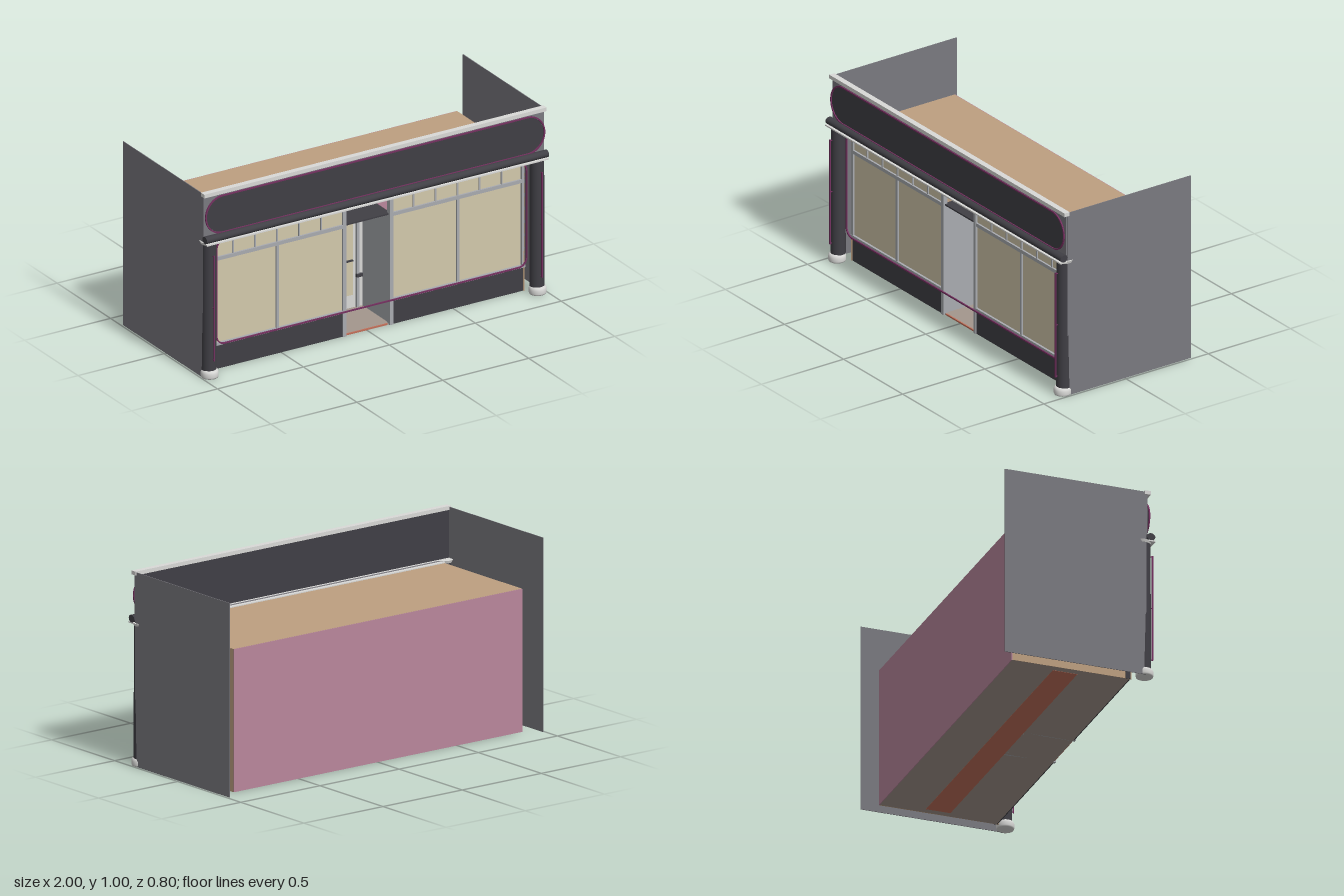
import * as THREE from 'three';

const mat = (name, color) => {
  const m = new THREE.MeshStandardMaterial({ color });
  m.name = name;
  return m;
};

export function createModel() {
  const M = {
    dark: mat('charcoal paint', 0x403f45),
    grey: mat('wall grey', 0x7a797f),
    tan: mat('tan plaster', 0xbd9f80),
    pink: mat('pink plaster', 0xb9879c),
    glass: mat('cream window', 0xd2c8ab),
    trim: mat('frame grey', 0xa9abb0),
    white: mat('pale stone', 0xd9d9d7),
    line: mat('plum tube', 0x74305f),
    red: mat('terracotta', 0xc2705a),
    floor: mat('floor', 0xa3968d),
  };
  const root = new THREE.Group();
  const add = (name, geo, material, x = 0, y = 0, z = 0, parent = root) => {
    const m = new THREE.Mesh(geo, material);
    m.name = name;
    m.position.set(x, y, z);
    parent.add(m);
    return m;
  };
  // box given by its limits on each axis
  const box = (name, material, x0, x1, y0, y1, z0, z1, parent = root) =>
    add(name, new THREE.BoxGeometry(x1 - x0, y1 - y0, z1 - z0), material,
      (x0 + x1) / 2, (y0 + y1) / 2, (z0 + z1) / 2, parent);
  // rounded rectangle outline centred on cy
  const roundRect = (w, h, r, cy) => {
    const s = new THREE.Shape();
    const x = w / 2, y0 = cy - h / 2, y1 = cy + h / 2;
    s.moveTo(-x + r, y0);
    s.lineTo(x - r, y0);
    s.absarc(x - r, y0 + r, r, -Math.PI / 2, 0);
    s.lineTo(x, y1 - r);
    s.absarc(x - r, y1 - r, r, 0, Math.PI / 2);
    s.lineTo(-x + r, y1);
    s.absarc(-x + r, y1 - r, r, Math.PI / 2, Math.PI);
    s.lineTo(-x, y0 + r);
    s.absarc(-x + r, y0 + r, r, Math.PI, Math.PI * 1.5);
    return s;
  };
  // flat ring between two rounded rectangles
  const ring = (name, w, h, r, cy, t, z, depth) => {
    const s = roundRect(w, h, r, cy);
    s.holes.push(roundRect(w - 2 * t, h - 2 * t, r - t, cy));
    add(name, new THREE.ExtrudeGeometry(s, { depth, bevelEnabled: false, curveSegments: 16 }), M.line, 0, 0, z);
  };

  // room shell
  box('floor', M.floor, -0.91, 0.91, 0, 0.006, -0.33, 0.29);
  box('floorStrip', M.red, -0.87, 0.87, -0.001, 0.004, -0.1, 0.03);
  box('roof', M.tan, -0.91, 0.91, 0.725, 0.733, -0.33, 0.28);
  box('backWall', M.pink, -0.91, 0.91, 0, 0.732, -0.334, -0.326);
  for (const s of [-1, 1]) {
    box('roomSideWall', M.tan, s * 0.909 - 0.003, s * 0.909 + 0.003, 0, 0.732, -0.33, 0.3);
    box('outerWall', M.grey, s * 0.989 - 0.002, s * 0.989 + 0.002, 0, 0.995, -0.4, 0.35);
  }

  // shop window bays
  for (const s of [-1, 1]) {
    const bay = new THREE.Group();
    bay.name = s > 0 ? 'leftWindowBay' : 'rightWindowBay';
    root.add(bay);
    const span = (name, m, a, b, y0, y1, z0, z1) =>
      box(name, m, Math.min(s * a, s * b), Math.max(s * a, s * b), y0, y1, z0, z1, bay);
    span('stallRiser', M.dark, 0.14, 0.915, 0, 0.13, 0.27, 0.295);
    span('windowPane', M.glass, 0.14, 0.91, 0.13, 0.725, 0.284, 0.29);
    span('sill', M.trim, 0.135, 0.915, 0.128, 0.142, 0.278, 0.302);
    span('transomBar', M.trim, 0.14, 0.91, 0.587, 0.606, 0.278, 0.3);
    span('headRail', M.trim, 0.14, 0.91, 0.712, 0.73, 0.278, 0.3);
    span('endPost', M.trim, 0.895, 0.912, 0.13, 0.725, 0.278, 0.3);
    span('entrancePost', M.trim, 0.127, 0.146, 0, 0.725, 0.276, 0.302);
    span('centreMullion', M.trim, 0.518, 0.533, 0.14, 0.59, 0.278, 0.3);
    for (let i = 1; i < 6; i++) {
      const x = 0.14 + i * 0.1283;
      span('transomMullion', M.trim, x - 0.004, x + 0.004, 0.6, 0.715, 0.28, 0.297);
    }
    // recessed entrance sides and door jambs
    span('entranceSide', M.trim, 0.132, 0.14, 0, 0.6, 0.02, 0.28);
    span('doorJamb', M.white, 0.114, 0.134, 0, 0.6, 0.015, 0.035);
    span('doorJambInner', M.trim, 0.095, 0.11, 0, 0.6, 0.015, 0.045);
    span('sidePane', M.glass, 0.108, 0.116, 0.14, 0.59, 0.02, 0.028);
  }

  // entrance
  box('entranceSoffit', M.dark, -0.14, 0.14, 0.594, 0.602, 0.02, 0.29);
  box('doorHead', M.trim, -0.12, 0.12, 0.575, 0.6, 0.012, 0.04);
  box('doorLeaf', M.white, -0.097, 0.097, 0.006, 0.58, 0.015, 0.032);
  box('doorGlass', M.glass, -0.082, 0.078, 0.075, 0.57, 0.03, 0.035);
  box('letterPlate', M.dark, -0.068, 0.028, 0.17, 0.188, 0.033, 0.043);
  box('pushBar', M.dark, -0.08, 0.075, 0.26, 0.268, 0.034, 0.043);
  box('doorHandle', M.dark, 0.09, 0.125, 0.172, 0.188, 0.04, 0.055);
  box('threshold', M.red, -0.12, 0.12, 0, 0.008, 0.285, 0.292);

  // hanging lamps seen over the door
  for (const x of [-0.132, 0.09]) {
    const shade = add('lampShade', new THREE.SphereGeometry(0.034, 20, 14), M.red, x, 0.636, -0.05);
    shade.scale.set(1, 1.1, 1);
    add('lampCord', new THREE.CylinderGeometry(0.002, 0.002, 0.07, 6), M.dark, x, 0.69, -0.05);
  }

  // columns with moulded bases
  const baseProfile = [[0, 0], [0.042, 0], [0.045, 0.008], [0.045, 0.026], [0.041, 0.037], [0.034, 0.042], [0, 0.042]]
    .map(p => new THREE.Vector2(p[0], p[1]));
  for (const s of [-1, 1]) {
    const x = s * 0.954;
    add('column', new THREE.CylinderGeometry(0.036, 0.038, 0.69, 28), M.dark, x, 0.385, 0.347);
    add('columnBase', new THREE.LatheGeometry(baseProfile, 28), M.white, x, 0, 0.353);
    add('columnCapital', new THREE.CylinderGeometry(0.045, 0.04, 0.014, 28), M.white, x, 0.727, 0.342);
    box('columnTube', M.line, x - 0.003, x + 0.003, 0.098, 0.668, 0.392, 0.399);
    for (const y of [0.1, 0.38, 0.66])
      box('tubePeg', M.line, x - 0.002, x + 0.002, y, y + 0.004, 0.38, 0.393);
  }

  // cornice above the windows
  box('facadeHead', M.white, -0.91, 0.91, 0.728, 0.738, 0.28, 0.302);
  box('soffit', M.grey, -0.91, 0.91, 0.728, 0.734, 0.302, 0.345);
  box('corniceLedge', M.white, -0.995, 0.995, 0.728, 0.735, 0.33, 0.396);
  const roll = add('corniceRoll', new THREE.CylinderGeometry(0.019, 0.019, 1.99, 20), M.dark, 0, 0.753, 0.373);
  roll.rotation.z = Math.PI / 2;
  roll.scale.z = 1.15;

  // fascia sign
  box('fasciaBack', M.dark, -0.988, 0.988, 0.732, 0.985, 0.342, 0.35);
  box('fasciaFace', M.grey, -0.988, 0.988, 0.765, 0.982, 0.35, 0.356);
  add('signPanel', new THREE.ExtrudeGeometry(roundRect(1.96, 0.19, 0.094, 0.87),
    { depth: 0.01, bevelEnabled: false, curveSegments: 16 }), M.dark, 0, 0, 0.356);
  ring('signTube', 1.976, 0.206, 0.102, 0.87, 0.007, 0.364, 0.007);
  box('fasciaCap', M.white, -0.996, 0.996, 0.98, 1.0, 0.34, 0.371);

  // rounded tube frame in front of the windows
  ring('windowTube', 1.81, 0.57, 0.05, 0.432, 0.007, 0.33, 0.007);

  return root;
}
